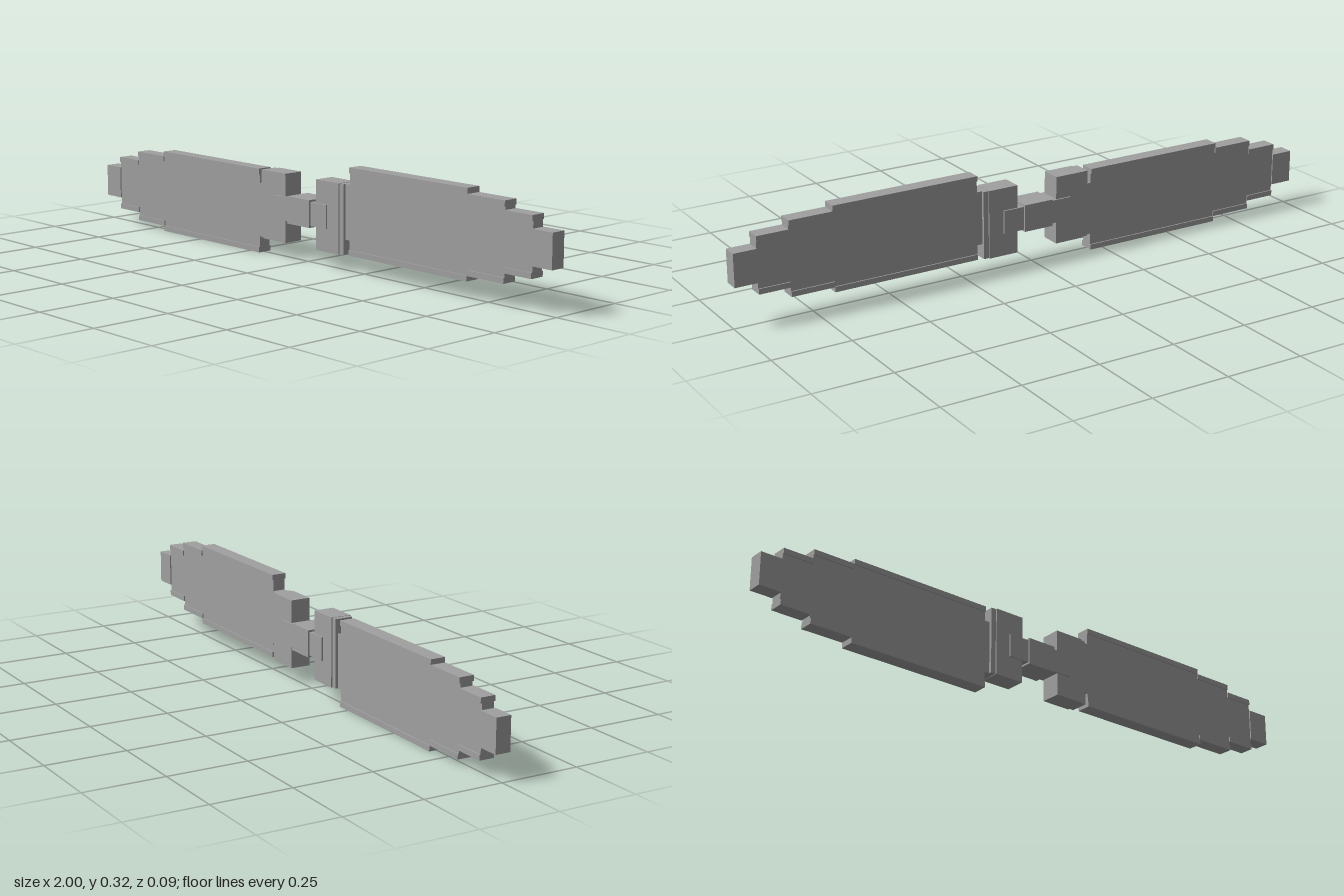
import * as THREE from 'three';

const MID = 0.1625; // height of the turning axis

export function createModel() {
  const grey = new THREE.MeshStandardMaterial({ color: 0xa0a0a0 });
  grey.name = 'plain grey';

  // box given by its x and y limits and its half depth
  const box = (parent, name, x0, x1, y0, y1, halfZ) => {
    const mesh = new THREE.Mesh(new THREE.BoxGeometry(x1 - x0, y1 - y0, halfZ * 2), grey);
    mesh.name = name;
    mesh.position.set((x0 + x1) / 2, (y0 + y1) / 2, 0);
    parent.add(mesh);
  };

  // one blade with its hub block; y is measured from the turning axis
  const makeHalf = (name) => {
    const half = new THREE.Group();
    half.name = name;
    box(half, 'hubBlock', 0.07, 0.17, -0.109, 0.109, 0.033);
    box(half, 'hubBackPlate', 0.17, 0.187, -0.108, 0.108, 0.029);
    box(half, 'bladeNeck', 0.187, 0.205, -0.062, 0.108, 0.02);

    // blade sections stepping down to the tip: x0, x1, bottom, top
    const rim = 0.017;
    const steps = [
      [0.205, 0.687, -0.108, 0.1605],
      [0.687, 0.826, -0.092, 0.143],
      [0.826, 0.927, -0.062, 0.116],
    ];
    for (const [x0, x1, y0, y1] of steps) {
      box(half, 'bladePanel', x0, x1, y0 + rim, y1 - rim, 0.02);
      box(half, 'lowerRim', x0, x1, y0, y0 + rim, 0.024);
      box(half, 'upperRim', x0, x1, y1 - rim, y1, 0.024);
    }
    box(half, 'bladeTip', 0.927, 1, -0.026, 0.078, 0.024);
    half.position.y = MID;
    return half;
  };

  const model = new THREE.Group();
  model.name = 'doubleBlade';

  // the second blade is the first turned half way round the middle
  const right = makeHalf('rightBlade');
  right.rotation.z = Math.PI;
  model.add(makeHalf('leftBlade'), right);

  // joint in the middle, its arms gripping the hub blocks
  const joint = new THREE.Group();
  joint.name = 'centreJoint';
  box(joint, 'jointArm', -0.12, 0.12, MID - 0.037, MID + 0.037, 0.038);
  box(joint, 'jointCore', -0.05, 0.05, MID - 0.043, MID + 0.043, 0.043);
  model.add(joint);
  return model;
}
